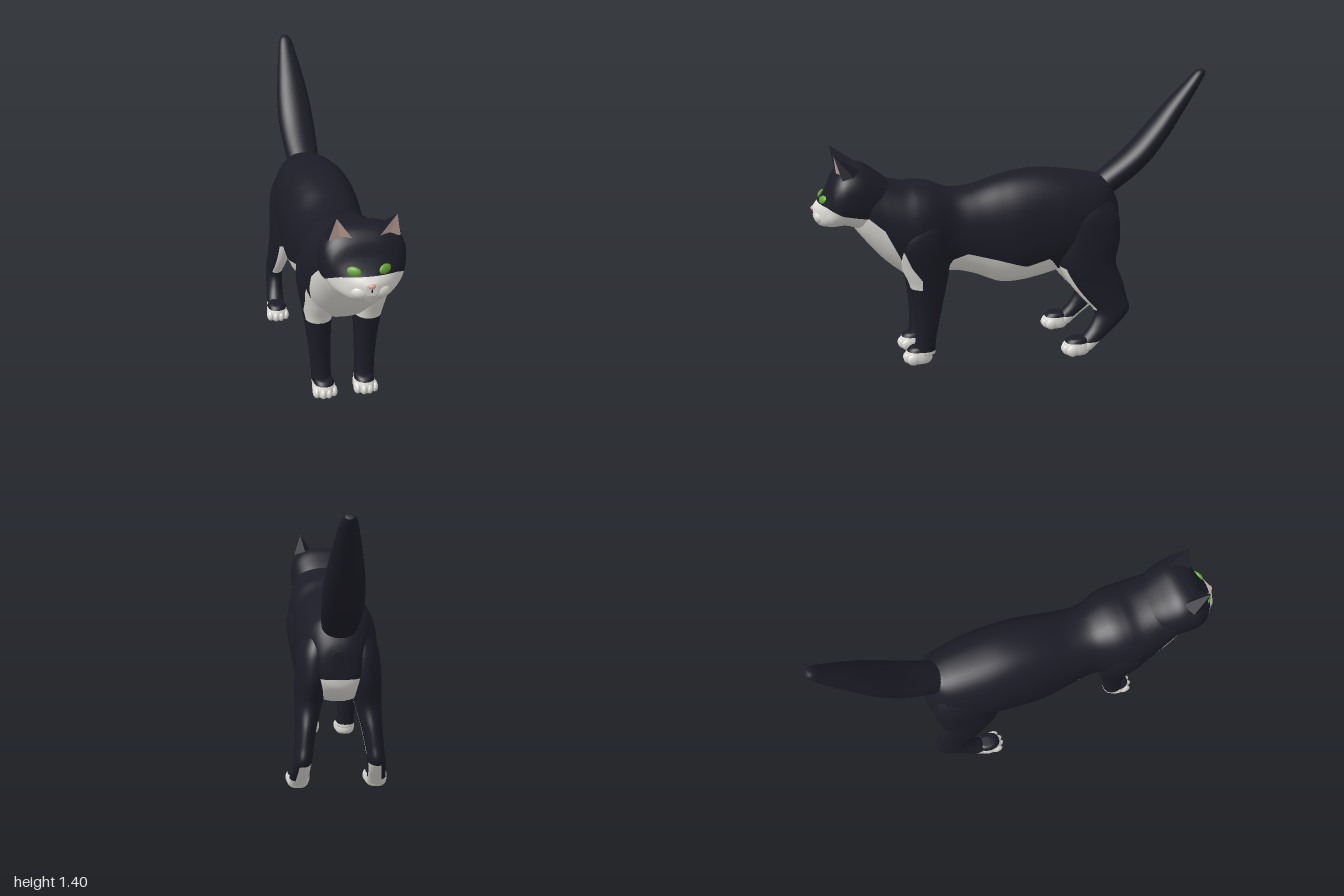
import * as THREE from 'three';

const mat = (name, color) => {
  const m = new THREE.MeshStandardMaterial({ color });
  m.name = name;
  return m;
};
const lerpTable = (t, v) => {
  if (v <= t[0][0]) return t[0][1];
  for (let i = 1; i < t.length; i++) {
    const [a, p] = t[i - 1], [b, q] = t[i];
    if (v <= b) return p + (q - p) * (v - a) / (b - a);
  }
  return t[t.length - 1][1];
};

// Smoothly interpolate rows of numbers (Catmull-Rom)
function refine(rows, steps) {
  const out = [], n = rows.length;
  for (let i = 0; i < n - 1; i++) {
    const [a, b, c, d] = [rows[Math.max(i - 1, 0)], rows[i], rows[i + 1], rows[Math.min(i + 2, n - 1)]];
    for (let k = 0; k < steps; k++) {
      const t = k / steps;
      out.push(b.map((_, j) => {
        const cubic = 3 * (b[j] - c[j]) + d[j] - a[j];
        const square = 2 * a[j] - 5 * b[j] + 4 * c[j] - d[j];
        return b[j] + 0.5 * t * (c[j] - a[j] + t * (square + t * cubic));
      }));
    }
  }
  out.push(rows[n - 1]);
  return out;
}

// Skin through sections [cx, cy, cz, rx, rv]; v is the second ring axis.
// The second material is used where field(x, y, z, u, w) > 0; u, w run -1..1 over the ring.
function loft(name, rows, v, power, materials, field) {
  const sides = 48, rings = refine(rows, 8), pos = [], val = [], groups = [[], []], cuts = new Map();
  const bend = (c) => Math.sign(c) * Math.pow(Math.abs(c), power);
  const add = (r, u, w) => {
    const a = Math.max(r[3], 0.001) * u, b = Math.max(r[4], 0.001) * w;
    const p = [r[0] + a, r[1] + v[1] * b, r[2] + v[2] * b];
    pos.push(...p);
    val.push(field(...p, u, w));
  };
  for (const r of rings) {
    for (let j = 0; j < sides; j++) {
      const t = (j / sides) * Math.PI * 2;
      add(r, bend(Math.cos(t)), bend(Math.sin(t)));
    }
  }
  const last = rings.length - 1, capA = pos.length / 3;
  add(rings[0], 0, 0);
  add(rings[last], 0, 0);
  // Point on an edge where the colour changes
  const cut = (i, j) => {
    const [a, b] = i < j ? [i, j] : [j, i], key = a + '_' + b;
    if (!cuts.has(key)) {
      const t = val[a] / (val[a] - val[b]);
      cuts.set(key, pos.length / 3);
      for (let k = 0; k < 3; k++) pos.push(pos[a * 3 + k] + t * (pos[b * 3 + k] - pos[a * 3 + k]));
    }
    return cuts.get(key);
  };
  const tri = (...f) => {
    const n = f.filter((i) => val[i] > 0).length;
    if (n % 3 === 0) {
      groups[n / 3].push(...f);
      return;
    }
    const k = f.findIndex((i) => (val[i] > 0) === (n === 1));
    const a = f[k], b = f[(k + 1) % 3], c = f[(k + 2) % 3], p = cut(a, b), q = cut(a, c);
    groups[n === 1 ? 1 : 0].push(a, p, q);
    groups[n === 1 ? 0 : 1].push(p, b, c, p, c, q);
  };
  for (let j = 0; j < sides; j++) {
    const k = (j + 1) % sides;
    for (let i = 0; i < last; i++) {
      const a = i * sides + j, b = i * sides + k;
      tri(a, b, b + sides);
      tri(a, b + sides, a + sides);
    }
    tri(capA, k, j);
    tri(capA + 1, last * sides + j, last * sides + k);
  }
  const g = new THREE.BufferGeometry();
  g.setAttribute('position', new THREE.Float32BufferAttribute(pos, 3));
  g.setIndex([...groups[0], ...groups[1]]);
  g.addGroup(0, groups[0].length, 0);
  if (groups[1].length) g.addGroup(groups[0].length, groups[1].length, 1);
  g.computeVertexNormals();
  const mesh = new THREE.Mesh(g, materials);
  mesh.name = name;
  return mesh;
}

function blob(name, material, p, r) {
  const mesh = new THREE.Mesh(new THREE.SphereGeometry(1, 20, 14).scale(...r), material);
  mesh.position.set(...p);
  mesh.name = name;
  return mesh;
}

export function createModel() {
  const cat = new THREE.Group();
  cat.name = 'cat';
  const fur = mat('darkFur', 0x1c1c27), white = mat('whiteFur', 0xdddbd5);
  const pink = mat('earPink', 0xd2b2a6), nosePink = mat('nosePink', 0xdfa79c);
  const green = mat('eyeGreen', 0x64a634);
  const coat = [fur, white];
  const Y = [0, 1, 0], Z = [0, 0, 1];
  // [z, top, bottom, half width] to a section row
  const upright = ([z, t, b, rx]) => [0, (t + b) / 2, z, rx, (t - b) / 2];

  // Body with white bib and belly
  const chestLine = [[0.5, 0.44], [0.53, 0.45], [0.58, 0.52], [0.61, 0.59], [0.67, 0.71], [0.74, 0.77], [0.86, 0.79]];
  const bellyLine = [[-0.21, 0.42], [-0.14, 0.51], [-0.02, 0.475], [0.12, 0.52], [0.27, 0.56], [0.35, 0.53], [0.37, 0.46]];
  cat.add(loft('body', [
    [-0.535, 0.73, 0.6, 0.04], [-0.52, 0.78, 0.55, 0.09], [-0.47, 0.87, 0.5, 0.13], [-0.4, 0.895, 0.46, 0.17],
    [-0.25, 0.92, 0.42, 0.195], [-0.12, 0.932, 0.385, 0.2], [0, 0.922, 0.365, 0.2], [0.1, 0.9, 0.37, 0.19],
    [0.22, 0.865, 0.42, 0.175], [0.33, 0.86, 0.445, 0.168], [0.43, 0.895, 0.43, 0.2], [0.5, 0.905, 0.4, 0.213],
    [0.57, 0.905, 0.45, 0.207], [0.67, 0.93, 0.535, 0.19], [0.76, 0.96, 0.64, 0.165], [0.82, 0.93, 0.72, 0.1],
  ].map(upright), Y, 0.85, coat, (x, y, z) => {
    if (z > 0.5) return lerpTable(chestLine, z) - y;
    if (z < -0.21) return Math.min(0.6 - y, 0.1 - Math.abs(x));
    return lerpTable(bellyLine, z) - y;
  }));

  // Head with white muzzle
  const faceLine = [[0.62, 0.66], [0.68, 0.72], [0.75, 0.77], [0.86, 0.79], [0.93, 0.825], [1, 0.84]];
  const head = loft('head', [
    [0.6, 0.89, 0.72, 0.11], [0.68, 0.955, 0.68, 0.16], [0.76, 1.005, 0.69, 0.183], [0.84, 1.0, 0.715, 0.185],
    [0.89, 0.96, 0.712, 0.165], [0.92, 0.895, 0.712, 0.135], [0.95, 0.85, 0.715, 0.1], [0.975, 0.825, 0.73, 0.06],
    [0.99, 0.808, 0.755, 0.025],
  ].map(upright), Y, 0.78, coat, (x, y, z) => lerpTable(faceLine, z) - y);
  cat.add(head);
  const ray = new THREE.Raycaster();
  const faceZ = (x, y) => {
    ray.set(new THREE.Vector3(x, y, 2), new THREE.Vector3(0, 0, -1));
    return ray.intersectObject(head)[0].point.z;
  };
  cat.add(blob('chin', white, [0, 0.73, 0.942], [0.042, 0.022, 0.03]));
  cat.add(blob('nose', nosePink, [0, 0.798, 0.989], [0.016, 0.012, 0.011]));

  // Tail
  cat.add(loft('tail', [
    [0, 0.79, -0.4, 0.07, 0.06], [0, 0.85, -0.49, 0.085, 0.066], [0, 0.965, -0.635, 0.094, 0.066],
    [0, 1.09, -0.745, 0.088, 0.06], [0, 1.2, -0.83, 0.071, 0.05], [0, 1.3, -0.91, 0.051, 0.037],
    [0, 1.37, -0.965, 0.034, 0.026], [0, 1.39, -0.988, 0.018, 0.014],
  ], [0, -0.68, -0.735], 1, coat, () => -1));

  for (const s of [1, -1]) {
    const side = s > 0 ? 'left' : 'right';
    const put = (o) => cat.add(o);

    // Paw with four toes; cz is its middle
    const paw = (name, cx, cz) => {
      const g = new THREE.Group();
      g.name = name;
      g.add(loft('foot', [
        [s * cx, 0.09, cz - 0.015, 0.025, 0.025], [s * cx, 0.082, cz - 0.005, 0.042, 0.05],
        [s * cx, 0.05, cz, 0.053, 0.066], [s * cx, 0.02, cz, 0.053, 0.066], [s * cx, 0.004, cz, 0.043, 0.055],
      ], Z, 0.9, coat, (x, y) => 0.066 - y));
      for (let i = 0; i < 4; i++) {
        const o = i - 1.5, f = Math.abs(o) > 1 ? -0.014 : 0;
        g.add(blob('toe', white, [s * cx + o * 0.028, 0.03, cz + 0.046 + f], [0.0175, 0.029, 0.032]));
      }
      put(g);
    };

    // Front leg, with the bib running over the shoulder
    put(loft(side + 'FrontLeg', [
      [0.11, 0.78, 0.47, 0.05, 0.07], [0.125, 0.7, 0.485, 0.085, 0.115], [0.132, 0.61, 0.493, 0.089, 0.128],
      [0.127, 0.5, 0.475, 0.077, 0.115], [0.12, 0.4, 0.463, 0.066, 0.088], [0.112, 0.25, 0.468, 0.053, 0.063],
      [0.107, 0.12, 0.48, 0.047, 0.051], [0.103, 0.05, 0.488, 0.049, 0.055],
    ].map(([x, ...r]) => [s * x, ...r]), Z, 0.9, coat, (x, y, z) =>
      Math.max(0.066 - y, Math.min(z - 0.5, y - 0.4, lerpTable(chestLine, z + 0.03) - y))));
    paw(side + 'FrontPaw', 0.1, 0.515);

    // Hind leg, white inside the thigh and under the hock
    put(loft(side + 'HindLeg', [
      [0.095, 0.78, -0.36, 0.06, 0.11], [0.11, 0.7, -0.355, 0.08, 0.155], [0.12, 0.58, -0.35, 0.083, 0.168],
      [0.138, 0.46, -0.345, 0.068, 0.148], [0.152, 0.36, -0.388, 0.053, 0.138], [0.162, 0.28, -0.43, 0.046, 0.115],
      [0.17, 0.21, -0.467, 0.043, 0.092], [0.178, 0.14, -0.425, 0.043, 0.072], [0.186, 0.075, -0.355, 0.045, 0.06],
      [0.19, 0.025, -0.3, 0.046, 0.06],
    ].map(([x, ...r]) => [s * x, ...r]), Z, 0.95, coat, (x, y, z, u, w) => {
      const out = u * s;
      const sole = Math.min(0.19 - y, (-0.35 - w) * 0.1, (0.4 - out) * 0.1);
      const edge = y > 0.45 ? Math.min(1.5 * w - 0.7, -0.1) : 1.5 * w - 0.7;
      return Math.max(0.066 - y, sole, Math.min(y - 0.22, 0.64 - y, (edge - out) * 0.1));
    }));
    paw(side + 'HindPaw', 0.19, -0.277);

    // Muzzle pad and mouth line
    put(blob(side + 'MuzzlePad', white, [s * 0.038, 0.765, 0.955], [0.046, 0.035, 0.034]));
    const lip = new THREE.CatmullRomCurve3([[0, 0.785, 0.991], [0, 0.755, 0.985], [0.03, 0.736, 0.974], [0.062, 0.745, 0.972]]
      .map(([x, y, z]) => new THREE.Vector3(s * x, y, z)));
    const mouth = new THREE.Mesh(new THREE.TubeGeometry(lip, 20, 0.002, 6), fur);
    mouth.name = side + 'MouthLine';
    put(mouth);

    // Eye
    const eye = blob(side + 'Eye', green, [s * 0.067, 0.85, faceZ(s * 0.067, 0.85) - 0.001], [0.032, 0.021, 0.012]);
    eye.rotation.set(-0.25, s * 0.5, s * 0.2);
    put(eye);

    // Ear: dark back, pink hollow
    const [A, B, T, C, D, E] = [[0.055, 0.965, 0.876], [0.155, 0.955, 0.855], [0.128, 1.07, 0.89],
      [0.105, 0.99, 0.77], [0.106, 0.968, 0.858], [0.166, 0.97, 0.805]].map(([x, y, z]) => [s * x, y, z]);
    const shell = (name, material, faces) => {
      const g = new THREE.BufferGeometry();
      const pts = faces.flatMap((f) => (s > 0 ? f : [...f].reverse())).flat();
      g.setAttribute('position', new THREE.Float32BufferAttribute(pts, 3));
      g.computeVertexNormals();
      const m = new THREE.Mesh(g, material);
      m.name = name;
      put(m);
    };
    shell(side + 'EarBack', fur, [[A, T, C], [C, T, E], [E, T, B]]);
    shell(side + 'EarInside', pink, [[A, D, T], [D, B, T]]);
  }
  return cat;
}
